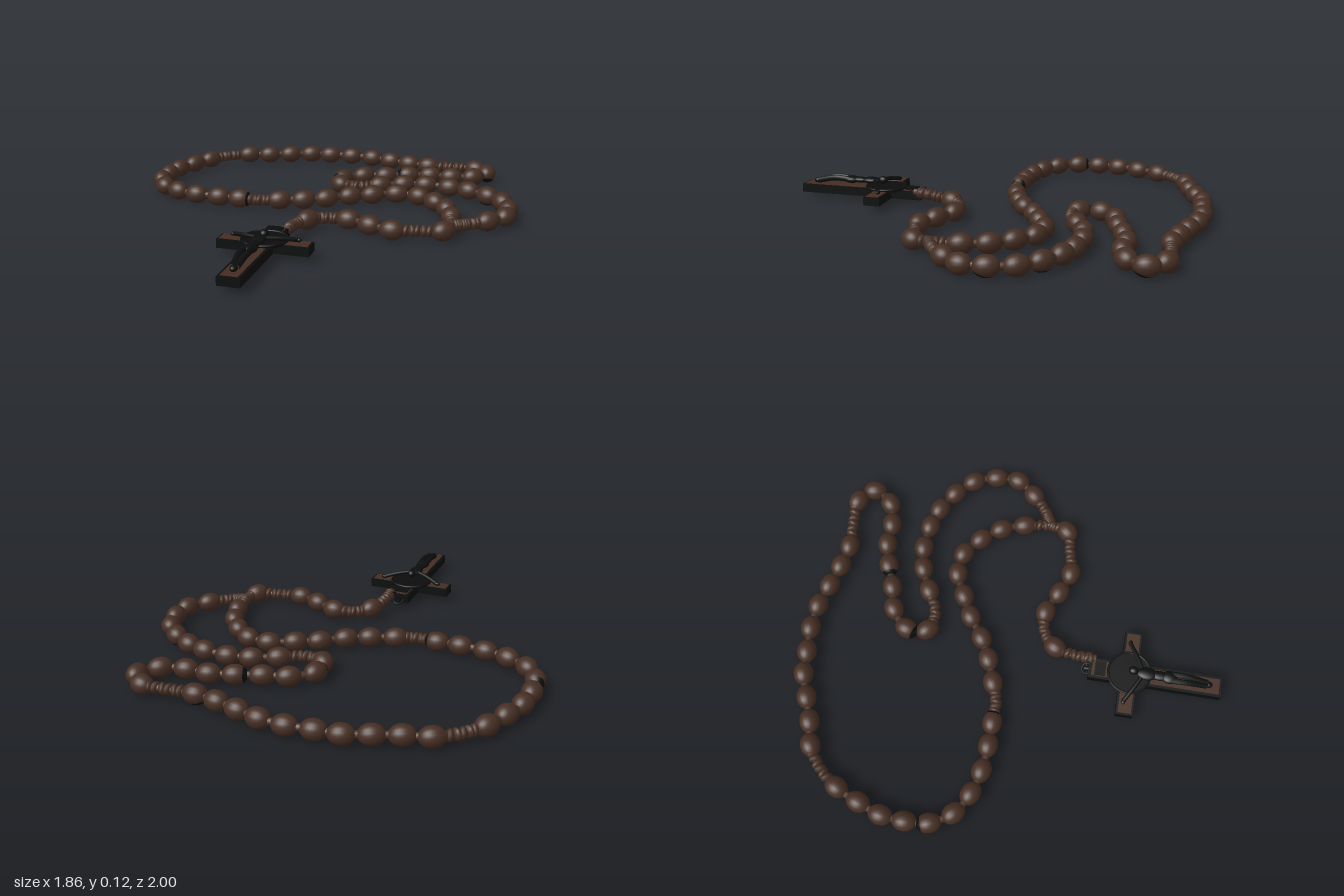
import * as THREE from 'three';

const brown = new THREE.MeshStandardMaterial({ color: 0x452e23 });
brown.name = 'darkWood';
const black = new THREE.MeshStandardMaterial({ color: 0x0c0d0d });
black.name = 'blackMetal';

const BEAD_Y = 0.054, BEAD_R = 0.046, BEAD_L = 0.057;

// Strand points in hundredths (x, z)
const TAIL = [0, 40, 0, 32, 3, 20, 10, 14, 20, 13, 31, 18, 42, 22, 53, 20, 64, 17, 66, 8];
const TAIL_KNOTS = [1, 3, 7, 9];
const LOOP = [
  66, 9, 73, 5, 81, -2, 88, -11, 88, -22, 84, -33, 76, -41, 66, -47, 56, -50, 44, -51, 33, -49, 22, -44,
  11, -39, 2, -41, 1, -51, 10, -59, 21, -62, 32, -66, 43, -69, 54, -69, 65, -72, 71, -81, 64, -88,
  51, -88, 39, -87, 28, -89, 17, -92, 6, -95, -6, -96, -18, -95, -29, -94, -40, -90, -51, -86, -62, -83,
  -72, -76, -79, -67, -84, -56, -88, -45, -89, -34, -88, -23, -82, -13, -72, -7, -61, -4, -49, -3, -38, -3,
  -28, -3, -19, -6, -8, -10, 2, -15, 12, -22, 22, -27, 33, -32, 44, -31, 53, -24, 60, -15, 64, -4, 66, 9];
const LOOP_KNOTS = [0, 1, 12, 23, 34, 45, 56];
// Bead index and the angle from its axis toward the top of its dark patch
const DARK = [[14, Math.PI], [17, Math.PI], [39, Math.PI], [44, 0], [21, -2], [24, -1.2], [4, -2], [6, -1.5]];

function add(parent, name, geometry, material, x = 0, y = 0, z = 0) {
  const mesh = new THREE.Mesh(geometry, material);
  mesh.name = name;
  mesh.position.set(x, y, z);
  parent.add(mesh);
  return mesh;
}

function tube(points, radius, segments = 16) {
  const path = new THREE.CatmullRomCurve3(points.map(p => new THREE.Vector3(...p)));
  return new THREE.TubeGeometry(path, segments, radius, 8);
}

function toPoints(flat, heightAt = () => BEAD_Y) {
  const pts = [];
  for (let i = 0; i < flat.length; i += 2) {
    pts.push(new THREE.Vector3(flat[i] / 100, heightAt(i / 2), flat[i + 1] / 100));
  }
  return pts;
}

// Cord with oval beads, and wound knots at the listed indices
function strand(name, pts, knots, dark) {
  const group = new THREE.Group();
  group.name = name;
  const curve = new THREE.CatmullRomCurve3(pts);
  const last = pts.length - 1;
  const up = new THREE.Vector3(0, 1, 0);
  const beadGeo = new THREE.SphereGeometry(1, 20, 14).scale(BEAD_R, BEAD_L, BEAD_R);
  const coilGeo = new THREE.SphereGeometry(1, 12, 8).scale(0.028, 0.017, 0.028);

  const align = (mesh, t, lean = 0) => {
    mesh.position.copy(curve.getPoint(t));
    const dir = curve.getTangent(t);
    const side = dir.clone().cross(up).normalize();
    const top = side.clone().cross(dir);
    mesh.quaternion.setFromRotationMatrix(new THREE.Matrix4().makeBasis(side, dir, top));
    mesh.rotateZ(lean);
  };

  add(group, 'cord', new THREE.TubeGeometry(curve, 200, 0.017, 8), brown);
  for (let i = 0; i <= last; i++) {
    if (knots.includes(i)) {
      for (let k = -3; k <= 3; k++) {
        const t = (i + k * 0.22) / last;
        if (t >= 0 && t <= 1) align(add(group, 'knotCoil', coilGeo, brown), t, k % 2 ? 0.25 : -0.25);
      }
    } else if (pts[i].z < 0.38) {
      align(add(group, 'bead', beadGeo, brown), i / last);
    }
  }
  for (const [i, angle] of dark) {
    const cap = new THREE.SphereGeometry(1.015, 18, 6, 0, Math.PI * 2, 0, 0.85)
      .rotateX(angle).scale(BEAD_R, BEAD_L, BEAD_R);
    align(add(group, 'darkBeadPatch', cap, black), i / last);
  }
  return group;
}

function createCross() {
  const cross = new THREE.Group();
  cross.name = 'cross';
  cross.position.set(-0.049, 0, 0);
  const top = 0.075;

  // Metal body
  const w = 0.049, arm = 0.204;
  const outline = [[-w, 0.37], [w, 0.37], [w, 0.52], [arm, 0.52], [arm, 0.6], [w, 0.6],
    [w, 0.99], [-w, 0.99], [-w, 0.6], [-arm, 0.6], [-arm, 0.52], [-w, 0.52]];
  const shape = new THREE.Shape(outline.map(p => new THREE.Vector2(...p)));
  const body = new THREE.ExtrudeGeometry(shape, { depth: 0.04, bevelEnabled: false }).rotateX(Math.PI / 2);
  add(cross, 'crossBody', body, black, 0, top, 0);

  // Wooden inlays and title plate
  const inlay = (width, length, x, z) =>
    add(cross, 'woodInlay', new THREE.BoxGeometry(width, 0.004, length), brown, x, top + 0.001, z);
  for (const s of [-1, 1]) inlay(0.1, 0.062, s * 0.145, 0.56);
  inlay(0.074, 0.32, 0, 0.82);
  inlay(0.074, 0.08, 0, 0.425);
  add(cross, 'titlePlate', new THREE.BoxGeometry(0.066, 0.008, 0.05), black, 0, top + 0.005, 0.425);

  // Round medal behind the figure
  add(cross, 'medal', new THREE.CylinderGeometry(0.1, 0.1, 0.012, 40), black, 0, top + 0.004, 0.56);
  add(cross, 'medalRim', new THREE.TorusGeometry(0.098, 0.006, 8, 40).rotateX(Math.PI / 2), black, 0, top + 0.008, 0.56);

  // Figure
  const figure = new THREE.Group();
  figure.name = 'figure';
  cross.add(figure);
  const blob = (name, sx, sy, sz, x, y, z) =>
    add(figure, name, new THREE.SphereGeometry(1, 16, 12).scale(sx, sy, sz), black, x, y, z);
  blob('head', 0.02, 0.019, 0.024, 0.004, 0.112, 0.577);
  blob('chest', 0.032, 0.016, 0.05, 0, 0.106, 0.64);
  blob('waist', 0.024, 0.014, 0.05, 0, 0.105, 0.7);
  blob('cloth', 0.032, 0.018, 0.04, 0, 0.104, 0.745);
  blob('feet', 0.016, 0.014, 0.022, 0, 0.088, 0.925);
  for (const s of [-1, 1]) {
    add(figure, 'arm', tube([[s * 0.022, 0.106, 0.615], [s * 0.08, 0.1, 0.585], [s * 0.14, 0.088, 0.55]], 0.01), black);
    blob('hand', 0.014, 0.009, 0.01, s * 0.144, 0.087, 0.549);
    add(figure, 'leg', tube([[s * 0.015, 0.104, 0.74], [s * 0.015, 0.11, 0.82], [s * 0.008, 0.09, 0.92]], 0.014), black);
  }

  // Hanging rings
  const ring = (r, x, y, z, rx, ry) => {
    add(cross, 'ring', new THREE.TorusGeometry(r, 0.005, 8, 24), black, x, y, z).rotation.set(rx, ry, 0);
  };
  add(cross, 'eyelet', new THREE.CylinderGeometry(0.012, 0.012, 0.03, 12).rotateX(Math.PI / 2), black, 0, 0.055, 0.365);
  ring(0.024, 0, 0.05, 0.362, 1.1, 0.2);
  ring(0.022, 0.025, 0.062, 0.365, 0.5, 0.9);
  return cross;
}

export function createModel() {
  const model = new THREE.Group();
  model.name = 'prayerBeads';
  model.add(strand('beadLoop', toPoints(LOOP), LOOP_KNOTS, DARK));
  const tailHeight = i => BEAD_Y + [0.022, 0.014, 0.004][i] || BEAD_Y;
  model.add(strand('beadTail', toPoints(TAIL, tailHeight), TAIL_KNOTS, []));
  model.add(createCross());
  return model;
}
